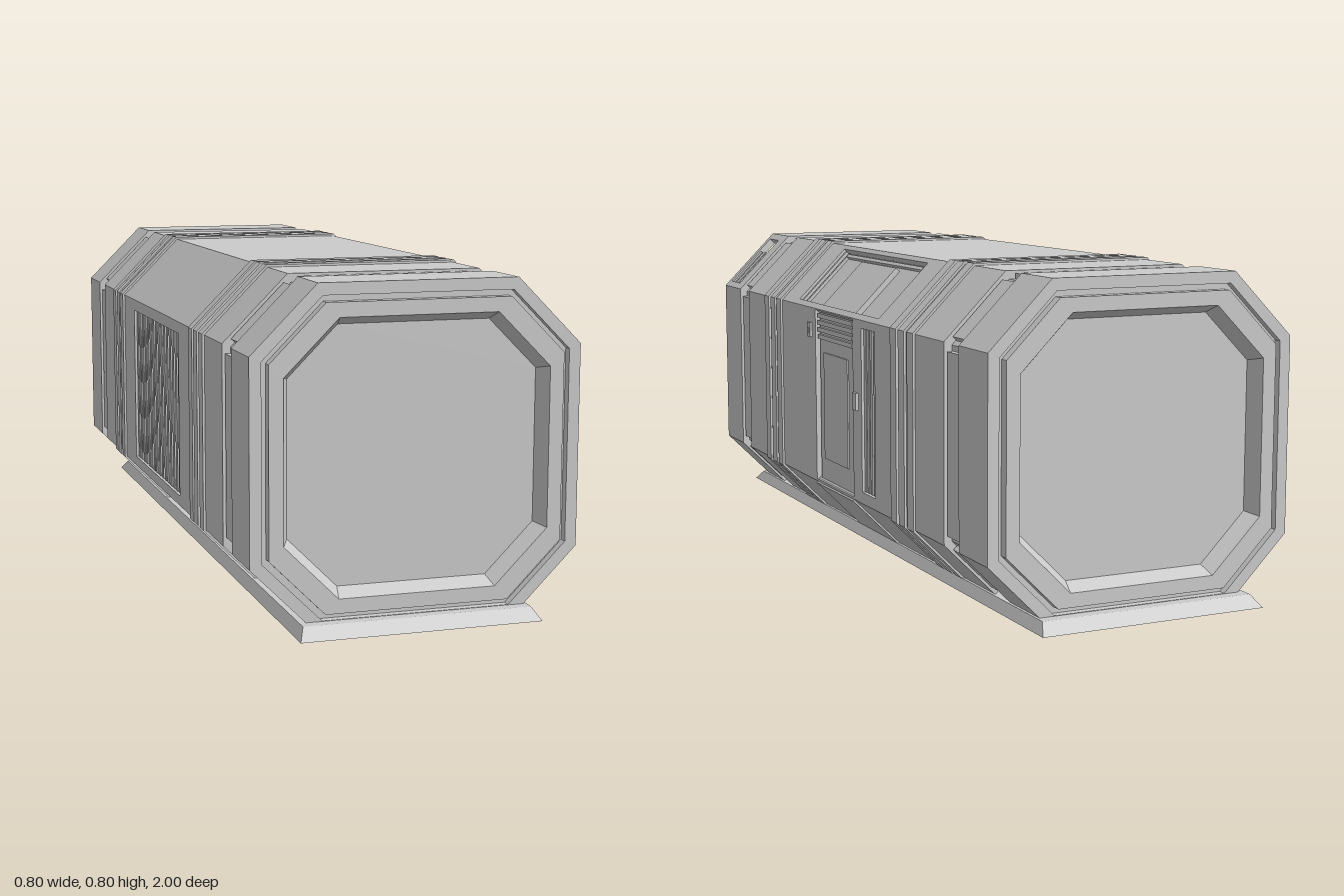
import * as THREE from 'three';

const grey = new THREE.MeshStandardMaterial({ color: 0xcccccc, flatShading: true });
const greyThin = new THREE.MeshStandardMaterial({ color: 0xcccccc, flatShading: true, side: THREE.DoubleSide });
const CY = 0.405, FLOOR = 0.035, SKIN = 0.02, HULL = 0.395;

// Chamfered-square section of half size a and half flat f, cut off at the floor
function octagon(a, f = 0.24 - 0.414 * (0.4 - a), floor = FLOOR) {
  const cut = Math.max(0, floor - (CY - a));
  const right = [[f + cut, CY - a + cut], [a, CY - f], [a, CY + f], [f, CY + a]];
  const left = right.map(([x, y]) => [-x, y]).reverse();
  return [...right, ...left].map(([x, y]) => new THREE.Vector2(x, y));
}

function add(parent, name, geometry, x = 0, y = 0, z = 0, material = grey) {
  const mesh = new THREE.Mesh(geometry, material);
  mesh.name = name;
  mesh.position.set(x, y, z);
  parent.add(mesh);
  return mesh;
}

// Box given by its edges in the facet plane, and its inner and outer heights
function slab(parent, name, x0, x1, y0, y1, z0, z1) {
  return add(parent, name, new THREE.BoxGeometry(x1 - x0, y1 - y0, z1 - z0),
    (x0 + x1) / 2, (y0 + y1) / 2, (z0 + z1) / 2);
}

const extrude = (shape, depth) => new THREE.ExtrudeGeometry(shape, { depth, bevelEnabled: false });

function rectangle(x0, x1, y0, y1, Type = THREE.Shape) {
  return new Type([[x0, y0], [x1, y0], [x1, y1], [x0, y1]].map(p => new THREE.Vector2(...p)));
}

// Skin through closed rings of points
function loft(rings) {
  const pos = [];
  for (let k = 0; k + 1 < rings.length; k++) {
    const n = rings[k].length;
    for (let i = 0; i < n; i++) {
      const j = (i + 1) % n;
      const [a, b, c, d] = [rings[k][i], rings[k][j], rings[k + 1][j], rings[k + 1][i]];
      for (const p of [a, b, c, a, c, d]) pos.push(p.x, p.y, p.z);
    }
  }
  const geo = new THREE.BufferGeometry();
  geo.setAttribute('position', new THREE.Float32BufferAttribute(pos, 3));
  geo.computeVertexNormals();
  return geo;
}

// Group lying on one hull facet: local x = -z of the model, y up the facet, z outwards
function facetFrame(parent, name, i) {
  const pts = octagon(HULL), p = pts[i], q = pts[i + 1];
  const up = new THREE.Vector3(q.x - p.x, q.y - p.y, 0);
  const length = up.length();
  up.normalize();
  const out = new THREE.Vector3(up.y, -up.x, 0);
  const group = new THREE.Group();
  group.name = name;
  group.matrix.makeBasis(new THREE.Vector3(0, 0, -1), up, out).setPosition(p.x, p.y, 0);
  group.matrix.decompose(group.position, group.quaternion, group.scale);
  parent.add(group);
  return { group, length };
}

// Openings per facet: x0, x1, y0, y1
const openings = {
  1: [[-0.135, 0.14, 0.006, 0.472], [0.2, 0.29, 0.03, 0.455]],
  2: [[-0.29, 0.29, 0.017, 0.208], [-0.92, -0.84, 0.02, 0.2]],
  5: [[-0.27, 0.27, 0.03, 0.45]],
};
const facetNames = ['lowerRightSide', 'rightSide', 'upperRightSide', 'roof', 'upperLeftSide', 'leftSide', 'lowerLeftSide'];

function buildEnd(parent, name, turn) {
  const end = new THREE.Group();
  end.name = name;
  const ring = (a, z, f) => octagon(a, f).map(p => new THREE.Vector3(p.x, p.y, z));
  // Outer rim, narrow groove, raised frame and bevel down to the sunk panel
  add(end, 'endFrame', loft([
    ring(HULL, 0.92), ring(HULL, 0.94), ring(0.367, 0.94), ring(0.367, 0.92), ring(0.352, 0.92),
    ring(0.352, 0.945), ring(0.318, 0.945, 0.189), ring(0.299, 0.905, 0.181),
  ]));
  add(end, 'endPanel', new THREE.ShapeGeometry(new THREE.Shape(octagon(0.299, 0.181))), 0, 0, 0.905);
  end.rotation.y = turn;
  parent.add(end);
}

function buildRightSide(g) {
  // Door with louvres and a framed inset panel
  slab(g, 'door', -0.125, 0.125, 0.008, 0.47, -SKIN, -0.01);
  for (let i = 0; i < 4; i++) slab(g, 'doorLouvre', -0.125, 0.125, 0.395 + i * 0.019, 0.407 + i * 0.019, -0.01, -0.003);
  slab(g, 'doorPanel', -0.09, 0.085, 0.07, 0.36, -0.01, -0.006);
  // Control boxes beside the door
  slab(g, 'callButton', -0.185, -0.16, 0.395, 0.435, -0.002, 0.006);
  slab(g, 'callButtonKnob', -0.18, -0.168, 0.405, 0.42, 0.006, 0.008);
  slab(g, 'doorHandle', 0.153, 0.178, 0.24, 0.285, -0.002, 0.008);
  // Upright slats of the narrow vent
  for (const x of [0.203, 0.222, 0.243, 0.268]) slab(g, 'ventSlat', x, x + 0.015, 0.032, 0.453, -SKIN, -0.006);
}

function buildUpperRight(g) {
  // Window box with stepped side frames
  slab(g, 'windowPane', -0.12, 0.12, 0.02, 0.18, -SKIN, -0.006);
  for (const s of [-1, 1]) for (const [x, h] of [[0.282, -0.006], [0.268, -0.012]]) {
    add(g, 'windowFrame', new THREE.BoxGeometry(0.008, 0.185, SKIN + h), s * x, 0.1125, (h - SKIN) / 2);
  }
  slab(g, 'windowSill', -0.26, 0.26, 0.19, 0.2, -SKIN, -0.01);
  // Small vent near the front
  for (let i = 0; i < 3; i++) slab(g, 'smallVentSlat', -0.917 + i * 0.027, -0.897 + i * 0.027, 0.022, 0.15, -SKIN, -0.004);
}

export function createModel() {
  const model = new THREE.Group();
  model.name = 'habitatModule';
  const hull = new THREE.Group();
  hull.name = 'hull';
  hull.position.x = -0.002;
  model.add(hull);

  // Inner core, seen as the floor of every groove and recess
  add(hull, 'core', extrude(new THREE.Shape(octagon(HULL - SKIN)), 1.8), 0, 0, -0.9);

  // Skin plates, three lengths on each facet, with pads in the two grooves between them
  facetNames.forEach((name, i) => {
    const { group, length } = facetFrame(hull, name, i);
    for (const [x0, x1] of [[-0.92, -0.79], [-0.71, 0.71], [0.79, 0.92]]) {
      const inside = (openings[i] || []).filter(o => o[0] >= x0 && o[1] <= x1);
      const shape = rectangle(x0, x1, 0, length);
      shape.holes = inside.map(o => rectangle(...o, THREE.Path));
      add(group, 'skinPlate', extrude(shape, SKIN), 0, 0, -SKIN);
    }
    for (const x of [-0.75, 0.75]) slab(group, 'groovePad', x - 0.034, x + 0.034, 0.022, length - 0.022, -SKIN, -0.006);
    if (i === 0) slab(group, 'doorStep', -0.135, 0.14, 0.004, length - 0.002, -0.005, 0.005);
    if (i === 1) buildRightSide(group);
    if (i === 2) buildUpperRight(group);
    // Long grille of upright slats
    if (i === 5) for (let k = 0; k < 16; k++) {
      const x = -0.262 + k * 0.0335;
      slab(group, 'grilleSlat', x, x + 0.02, 0.032, 0.448, -SKIN, -0.005);
    }
  });

  // Front strip that closes the small vent opening at the rim
  buildEnd(hull, 'frontEnd', 0);
  buildEnd(hull, 'backEnd', Math.PI);

  // Two sets of three ribs, open underneath
  const ribShape = new THREE.Shape([...octagon(0.401, 0.24, 0), ...octagon(0.386, 0.234, 0).reverse()]);
  for (const s of [-1, 1]) for (const z of [0.422, 0.472, 0.526]) {
    add(hull, 'rib', extrude(ribShape, 0.036), 0, 0, s * z - 0.018);
  }

  // Flared base skirt with its floor
  const corners = (x, y, z) => [[-x, z], [x, z], [x, -z], [-x, -z]].map(c => new THREE.Vector3(c[0], y, c[1]));
  add(model, 'baseSkirt', loft([corners(0.291, 0.01, 1), corners(0.276, 0.037, 0.967)]), -0.006, 0, 0, greyThin);
  add(model, 'baseFloor', new THREE.BoxGeometry(0.552, 0.003, 1.934), -0.006, 0.0355, 0);
  return model;
}
